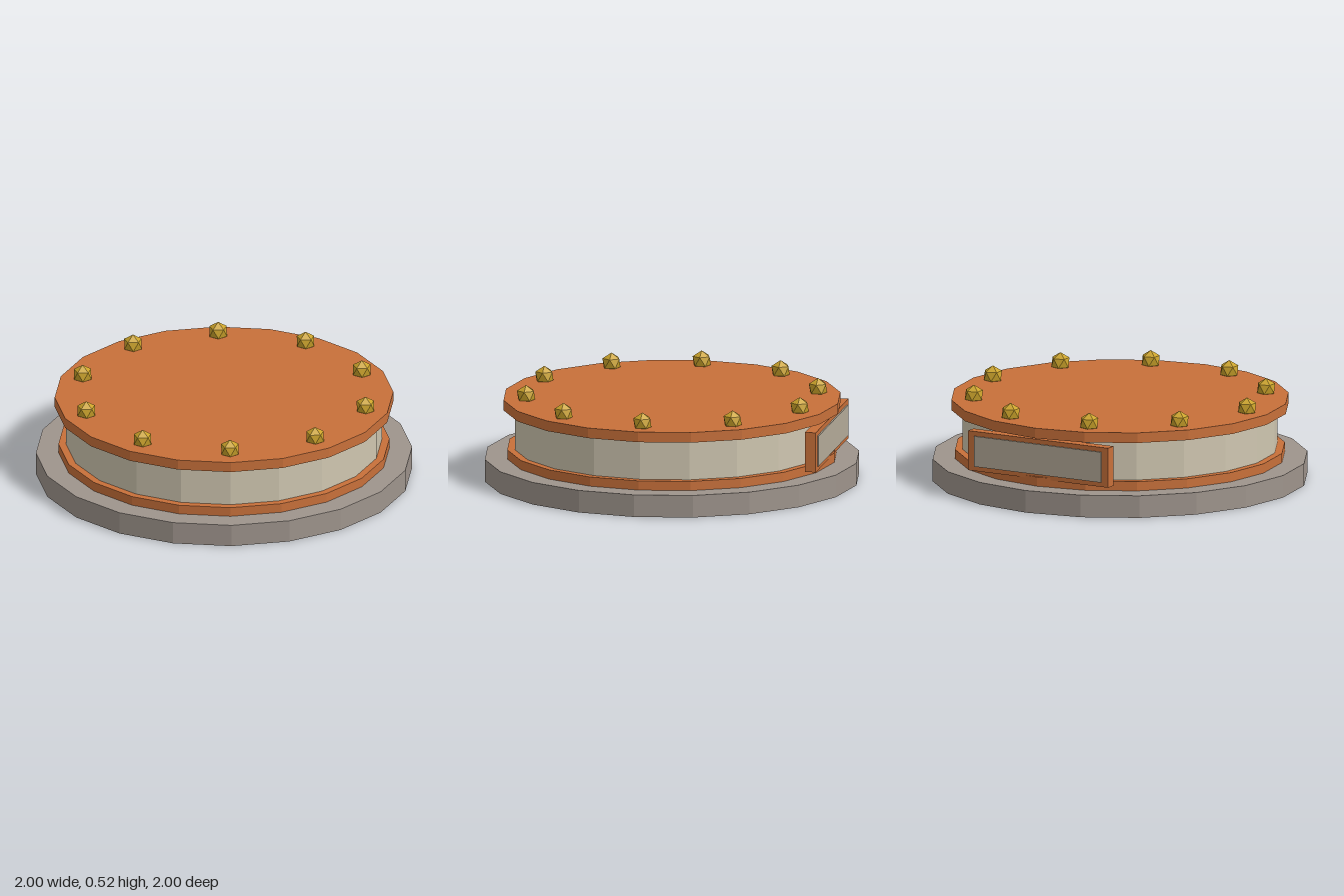
import * as THREE from 'three';

const SIDES = 20;

function material(name, color, flat = true) {
  const m = new THREE.MeshStandardMaterial({ color, flatShading: flat });
  m.name = name;
  return m;
}

export function createModel() {
  const model = new THREE.Group();
  model.name = 'boltedDrum';

  const stone = material('warm grey stone', 0x9e948c);
  const copper = material('copper', 0xc8703a);
  const cream = material('cream', 0xcfc6b0);
  const brass = material('brass', 0xcba32b);
  const panel = material('pale grey panel', 0xb5ab99);

  const add = (name, geometry, mat, x = 0, y = 0, z = 0) => {
    const mesh = new THREE.Mesh(geometry, mat);
    mesh.name = name;
    mesh.position.set(x, y, z);
    model.add(mesh);
    return mesh;
  };

  // Stacked discs: name, radius, bottom, top, material
  const discs = [
    ['base', 1.0, 0, 0.12, stone],
    ['lowerRim', 0.88, 0.12, 0.17, copper],
    ['drum', 0.84, 0.17, 0.385, cream],
    ['lid', 0.9, 0.385, 0.44, copper],
  ];
  for (const [name, r, y0, y1, mat] of discs) {
    add(name, new THREE.CylinderGeometry(r, r, y1 - y0, SIDES), mat, 0, (y0 + y1) / 2, 0);
  }

  // Faceted bolts around the lid, each with one corner pointing up
  const boltGeometry = new THREE.IcosahedronGeometry(0.054, 0);
  boltGeometry.rotateZ(-Math.atan(2 / (1 + Math.sqrt(5))));
  for (let i = 0; i < 10; i++) {
    const a = (i / 10) * Math.PI * 2;
    add('bolt' + (i + 1), boltGeometry, brass, 0.78 * Math.cos(a), 0.466, 0.78 * Math.sin(a));
  }

  // Name plate on the back: copper frame with a thin inset face
  add('plateFrame', new THREE.BoxGeometry(0.86, 0.215, 0.058), copper, 0, 0.265, -0.839);
  add('plateFace', new THREE.BoxGeometry(0.78, 0.165, 0.009), panel, 0, 0.265, -0.8715);

  return model;
}
